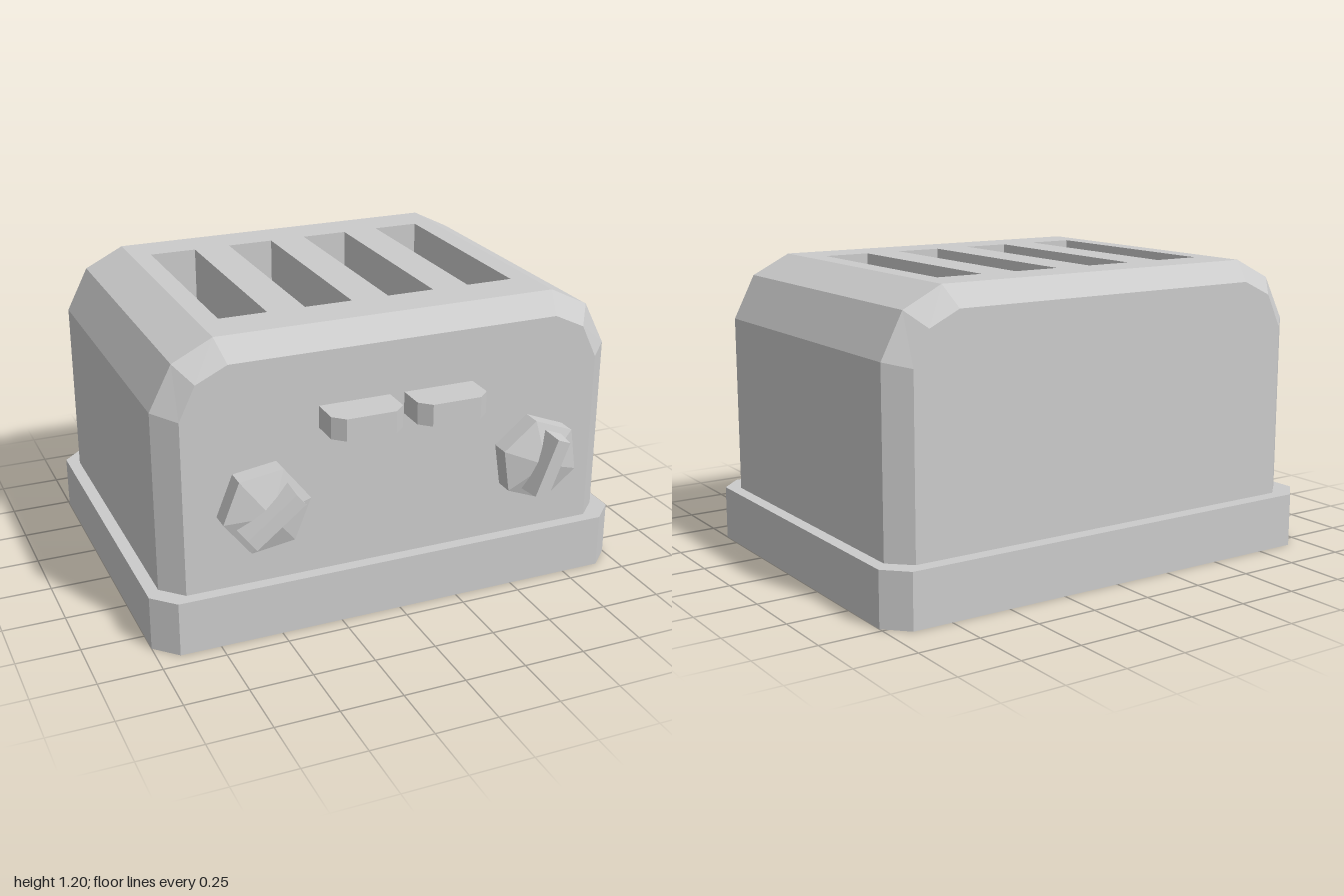
import * as THREE from 'three';

const material = new THREE.MeshStandardMaterial({ color: 0xcccccc, flatShading: true });

function add(parent, name, geometry) {
  const mesh = new THREE.Mesh(geometry, material);
  mesh.name = name;
  parent.add(mesh);
  return mesh;
}

// Polygon given as [x, z] points, extruded downwards from yTop to yBottom
function slab(points, yBottom, yTop) {
  const shape = new THREE.Shape(points.map(([x, z]) => new THREE.Vector2(x, z)));
  return new THREE.ExtrudeGeometry(shape, { depth: yTop - yBottom, bevelEnabled: false })
    .rotateX(Math.PI / 2).translate(0, yTop, 0);
}

// Convex faces, corners counter-clockwise seen from outside
function fromFaces(faces) {
  const positions = [];
  for (const f of faces) {
    for (let i = 1; i < f.length - 1; i++) positions.push(...f[0], ...f[i], ...f[i + 1]);
  }
  const geometry = new THREE.BufferGeometry();
  geometry.setAttribute('position', new THREE.Float32BufferAttribute(positions, 3));
  geometry.computeVertexNormals();
  return geometry;
}

const rect = (x0, y0, x1, y1) =>
  [[x0, y0], [x1, y0], [x1, y1], [x0, y1]].map(([x, y]) => new THREE.Vector2(x, y));

// Right half of the arch, bottom to top, mirrored to the other side
const arch = half => [...half, ...half.map(([x, y]) => [-x, y]).reverse()];
const outer = arch([[0.95, 0.22], [0.95, 0.945], [0.86, 1.12], [0.7, 1.2]]);
const inner = arch([[0.865, 0.22], [0.865, 0.925], [0.8, 1.06], [0.675, 1.12]]);
const backZ = -0.68, frontZ = 0.55, topY = 1.2, topX = 0.7;

const slots = [-0.522, -0.175, 0.172, 0.518].map(x => ({ x0: x - 0.097, x1: x + 0.097 }));
const slotBack = -0.51, slotFront = 0.37, slotFloor = 0.45;

function bodyShell() {
  const rings = [[inner, -0.76], [outer, backZ], [outer, frontZ], [inner, 0.635]]
    .map(([profile, z]) => profile.map(([x, y]) => [x, y, z]));
  const faces = [rings[3], [...rings[0]].reverse()];
  for (let r = 0; r < 3; r++) {
    for (let i = 0; i < outer.length - 1; i++) {
      if (r === 1 && i === 3) continue; // the slotted top fills this strip
      faces.push([rings[r][i], rings[r][i + 1], rings[r + 1][i + 1], rings[r + 1][i]]);
    }
  }
  return fromFaces(faces);
}

function slottedTop() {
  const shape = new THREE.Shape(rect(-topX, -frontZ, topX, -backZ));
  for (const { x0, x1 } of slots) {
    shape.holes.push(new THREE.Path(rect(x0, -slotFront, x1, -slotBack)));
  }
  return new THREE.ShapeGeometry(shape).rotateX(-Math.PI / 2).translate(0, topY, 0);
}

// Inward-facing walls and floor of one slot
function slotLining({ x0, x1 }) {
  const corners = [[x0, slotFront], [x1, slotFront], [x1, slotBack], [x0, slotBack]];
  const at = (i, y) => [corners[i % 4][0], y, corners[i % 4][1]];
  const faces = [corners.map((c, i) => at(i, slotFloor))];
  for (let i = 0; i < 4; i++) {
    faces.push([at(i, topY), at(i + 1, topY), at(i + 1, slotFloor), at(i, slotFloor)]);
  }
  return fromFaces(faces);
}

// Six-sided dial with a shallow point and a tapered grip, facing +z
function makeKnob(name, x, angle) {
  const knob = new THREE.Group();
  knob.name = name;
  const r = 0.175;
  const profile = [[0, 0], [r, 0], [r, 0.08], [0, 0.13]].map(p => new THREE.Vector2(...p));
  add(knob, name + 'Dial', new THREE.LatheGeometry(profile, 6).rotateX(Math.PI / 2));

  const grip = new THREE.BoxGeometry(0.26, 0.085, 0.13).translate(0, 0, 0.115);
  const p = grip.attributes.position;
  for (let i = 0; i < p.count; i++) {
    if (p.getZ(i) > 0.1) p.setXY(i, p.getX(i) * 0.94, p.getY(i) * 0.68);
  }
  grip.computeVertexNormals();
  add(knob, name + 'Grip', grip);

  knob.position.set(x, 0.55, 0.632);
  knob.rotation.z = THREE.MathUtils.degToRad(angle);
  return knob;
}

export function createModel() {
  const model = new THREE.Group();
  model.name = 'toaster';

  // Base plinth with cut corners
  const c = 0.088, b = -0.818, f = 0.685;
  add(model, 'base', slab([
    [-1 + c, b], [1 - c, b], [1, b + c], [1, f - c],
    [1 - c, f], [-1 + c, f], [-1, f - c], [-1, b + c],
  ], 0, 0.22));

  // Body with bevelled ends and four bread slots
  add(model, 'body', bodyShell());
  add(model, 'top', slottedTop());
  slots.forEach((s, i) => add(model, 'slot' + (i + 1), slotLining(s)));

  // Push levers with clipped front corners
  for (const [name, x] of [['rightLever', -0.18], ['leftLever', 0.17]]) {
    add(model, name, slab([
      [x - 0.145, 0.62], [x + 0.145, 0.62], [x + 0.145, 0.75],
      [x + 0.1, 0.793], [x - 0.1, 0.793], [x - 0.145, 0.75],
    ], 0.817, 0.905));
  }

  // Control knobs
  model.add(makeKnob('rightKnob', -0.563, 38), makeKnob('leftKnob', 0.592, 68.5));
  return model;
}
